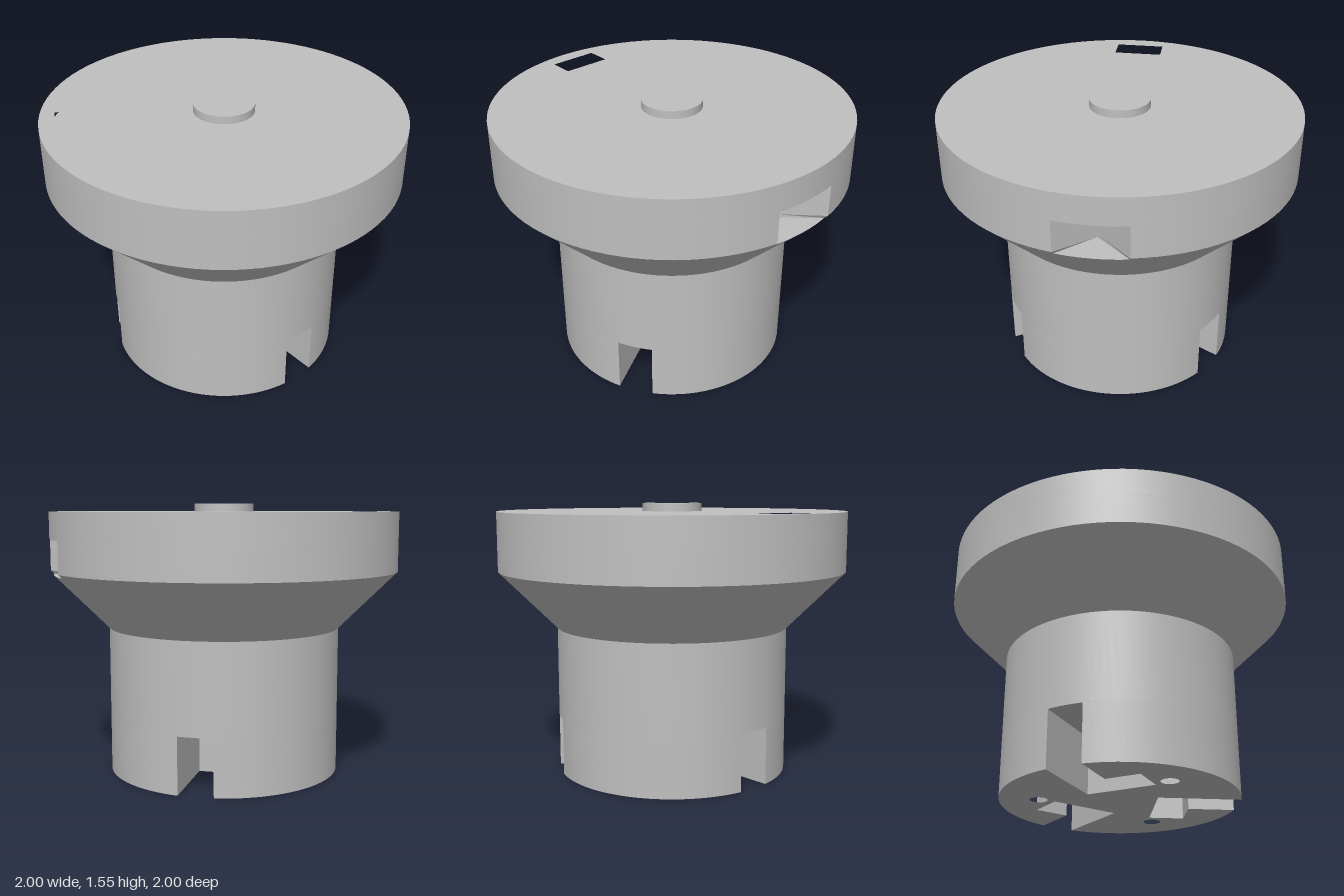
import * as THREE from 'three';
import { toCreasedNormals } from 'three/addons/utils/BufferGeometryUtils.js';

const SEG = 96;
const CREASE = 0.5;

// Plan outlines use world (x, z); the shape's y axis is -z.
const plan = (x, z) => new THREE.Vector2(x, -z);
const polar = (r, a) => plan(r * Math.cos(a), r * Math.sin(a));

function arc(r, from, to, n) {
  return Array.from({ length: n + 1 }, (_, i) => polar(r, from + (to - from) * i / n));
}

function circle(r, cx = 0, cz = 0, n = SEG) {
  return arc(r, 0, Math.PI * 2, n).slice(0, n).map(p => p.add(plan(cx, cz)));
}

// Upright slab from an outline and holes, between two heights
function slab(outline, holes, y0, y1, steps = 1) {
  const shape = new THREE.Shape(outline);
  holes.forEach(h => shape.holes.push(new THREE.Path(h)));
  const geo = new THREE.ExtrudeGeometry(shape, { depth: y1 - y0, steps, bevelEnabled: false });
  geo.rotateX(-Math.PI / 2);
  geo.translate(0, y0, 0);
  return geo;
}

export function createModel() {
  const group = new THREE.Group();
  const grey = new THREE.MeshStandardMaterial({ color: 0xbfbfbf });
  grey.name = 'plain grey';

  const add = (name, geo) => {
    const mesh = new THREE.Mesh(toCreasedNormals(geo, CREASE), grey);
    mesh.name = name;
    group.add(mesh);
  };

  const stemR = 0.67, slotTop = 0.325, notchLow = 1.15, notchHigh = 1.35, top = 1.505;

  // Foot with three L-shaped locking slots and three pin holes
  const half = Math.asin(0.1 / stemR);
  const third = Math.PI * 2 / 3;
  const foot = [], pinHoles = [];
  for (let k = 0; k < 3; k++) {
    const a = Math.PI / 3 + k * third;
    const c = Math.cos(a), s = Math.sin(a);
    for (const [r, t] of [[0.4, -0.1], [0.4, -0.3], [0.2, -0.3], [0.2, 0.1]]) {
      foot.push(plan(r * c - t * s, r * s + t * c));
    }
    foot.push(...arc(stemR, a + half, a + third - half, 28));
    pinHoles.push(circle(0.05, 0.45 * Math.cos(k * third), 0.45 * Math.sin(k * third), 24));
  }
  add('slottedFoot', slab(foot, pinHoles, 0, slotTop));

  // Stem and flared cone
  const profile = [[0, slotTop], [stemR, slotTop], [stemR, 0.84], [0.98, notchLow], [0, notchLow]];
  add('stemAndFlare', new THREE.LatheGeometry(profile.map(p => new THREE.Vector2(...p)), SEG));

  // Lower rim with a V notch on the +x side; its lowest edge carries on the flare
  const mouth = Math.asin(0.19);
  const notched = [plan(0.79, 0), ...arc(1, mouth, Math.PI * 2 - mouth, 90)];
  const rim = slab(notched, [circle(0.12)], notchLow, notchHigh, 10);
  const pos = rim.attributes.position;
  for (let i = 0; i < pos.count; i++) {
    const x = pos.getX(i), z = pos.getZ(i);
    if (pos.getY(i) < notchLow + 0.001 && Math.hypot(x, z) > 0.97) {
      pos.setX(i, x * 0.98);
      pos.setZ(i, z * 0.98);
    }
  }
  add('notchedRim', rim);

  // Top plate with a rectangular pocket and the centre bore
  const pocket = [plan(-0.91, -0.14), plan(-0.77, -0.14), plan(-0.77, 0.14), plan(-0.91, 0.14)];
  add('topPlate', slab(circle(1), [circle(0.12), pocket], notchHigh, top));

  // Raised collar around the bore
  add('collar', slab(circle(0.17), [circle(0.12)], top, 1.55));

  return group;
}
